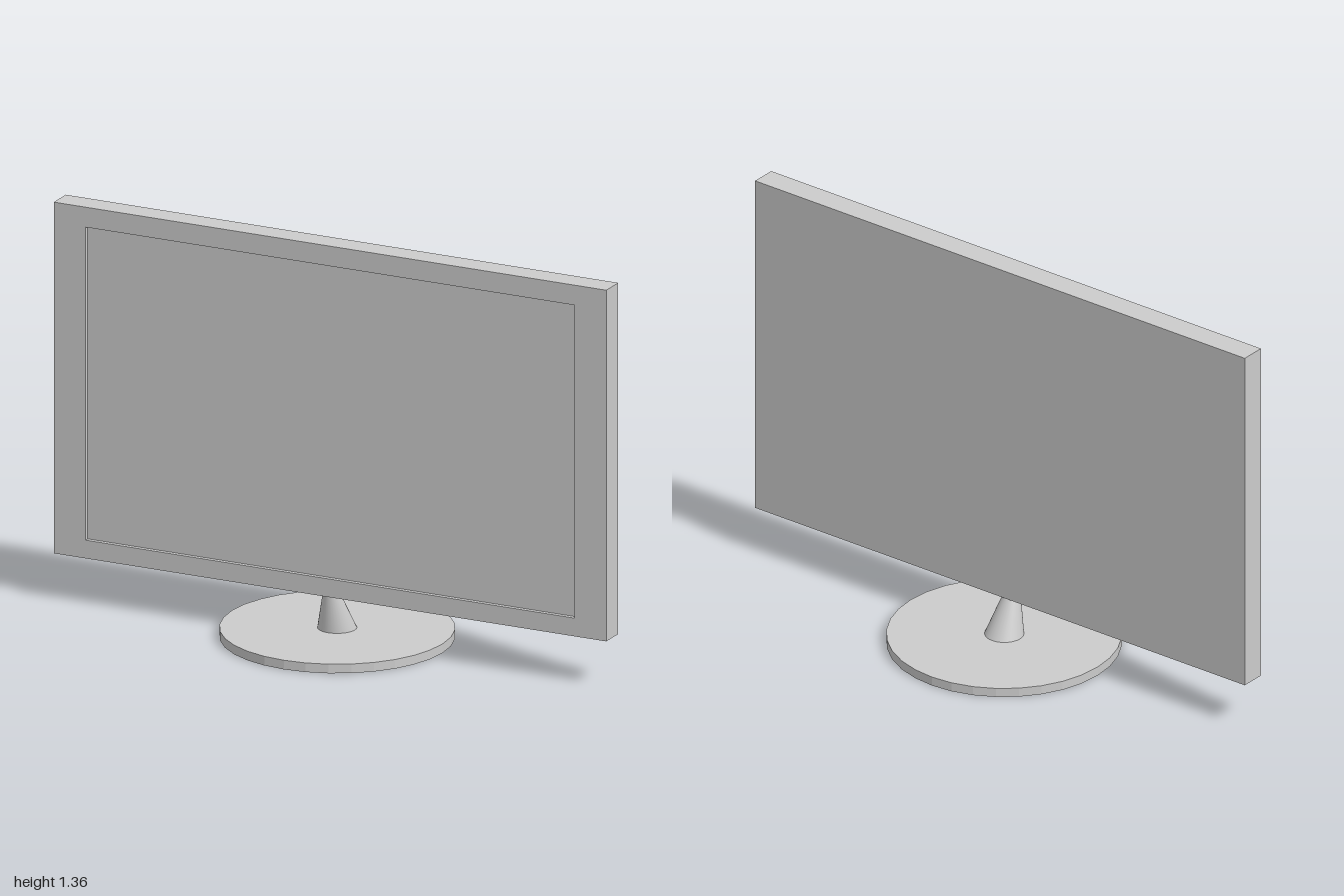
import * as THREE from 'three';

const FRONT = 0.085, RECESS = 0.015;     // panel front plane and screen depth
const STAND_X = -0.017, BASE_TOP = 0.031;

const grey = new THREE.MeshStandardMaterial({ color: 0xcccccc });
const greyDouble = new THREE.MeshStandardMaterial({ color: 0xcccccc, side: THREE.DoubleSide });
const greyFlat = new THREE.MeshStandardMaterial({ color: 0xcccccc, flatShading: true });

const outer = { x0: -1, x1: 1, y0: 0.16, y1: 1.355 };
const inner = { x0: -0.885, x1: 0.885, y0: 0.222, y1: 1.287 };

function add(parent, name, geometry, material = grey) {
  const mesh = new THREE.Mesh(geometry, material);
  mesh.name = name;
  parent.add(mesh);
  return mesh;
}

// Box over a rectangle, from z0 to the panel front, with its +z face left out
function openBox(r, z0) {
  const g = new THREE.BoxGeometry(r.x1 - r.x0, r.y1 - r.y0, FRONT - z0);
  const index = Array.from(g.index.array);
  index.splice(24, 6);
  g.setIndex(index);
  g.clearGroups();
  return g.translate((r.x0 + r.x1) / 2, (r.y0 + r.y1) / 2, (z0 + FRONT) / 2);
}

function corners(r) {
  return [[r.x0, r.y0], [r.x1, r.y0], [r.x1, r.y1], [r.x0, r.y1]]
    .map(([x, y]) => new THREE.Vector2(x, y));
}

export function createModel() {
  const model = new THREE.Group();
  model.name = 'monitor';

  // Panel: casing, flat bezel around the opening, and the sunken screen
  const panel = new THREE.Group();
  panel.name = 'panel';
  model.add(panel);
  add(panel, 'casing', openBox(outer, 0));
  const bezel = new THREE.Shape(corners(outer));
  bezel.holes.push(new THREE.Path(corners(inner).reverse()));
  add(panel, 'bezel', new THREE.ShapeGeometry(bezel).translate(0, 0, FRONT));
  add(panel, 'screen', openBox(inner, FRONT - RECESS), greyDouble);

  // Stand: round foot and a tapered neck leaning forward into the panel
  const stand = new THREE.Group();
  stand.name = 'stand';
  stand.position.x = STAND_X;
  model.add(stand);
  const foot = new THREE.CylinderGeometry(0.381, 0.381, BASE_TOP, 32);
  add(stand, 'foot', foot.translate(0, BASE_TOP / 2, 0), greyFlat);

  const height = outer.y0 - BASE_TOP;
  const neck = new THREE.CylinderGeometry(0.028, 0.064, height, 32, 1, true);
  neck.translate(0, height / 2, 0);
  const lean = new THREE.Matrix4().set(
    1, 0, 0, 0,
    0, 1, 0, BASE_TOP,
    0, 0.041 / height, 1, 0.001,
    0, 0, 0, 1);
  add(stand, 'neck', neck.applyMatrix4(lean), greyDouble);

  return model;
}
